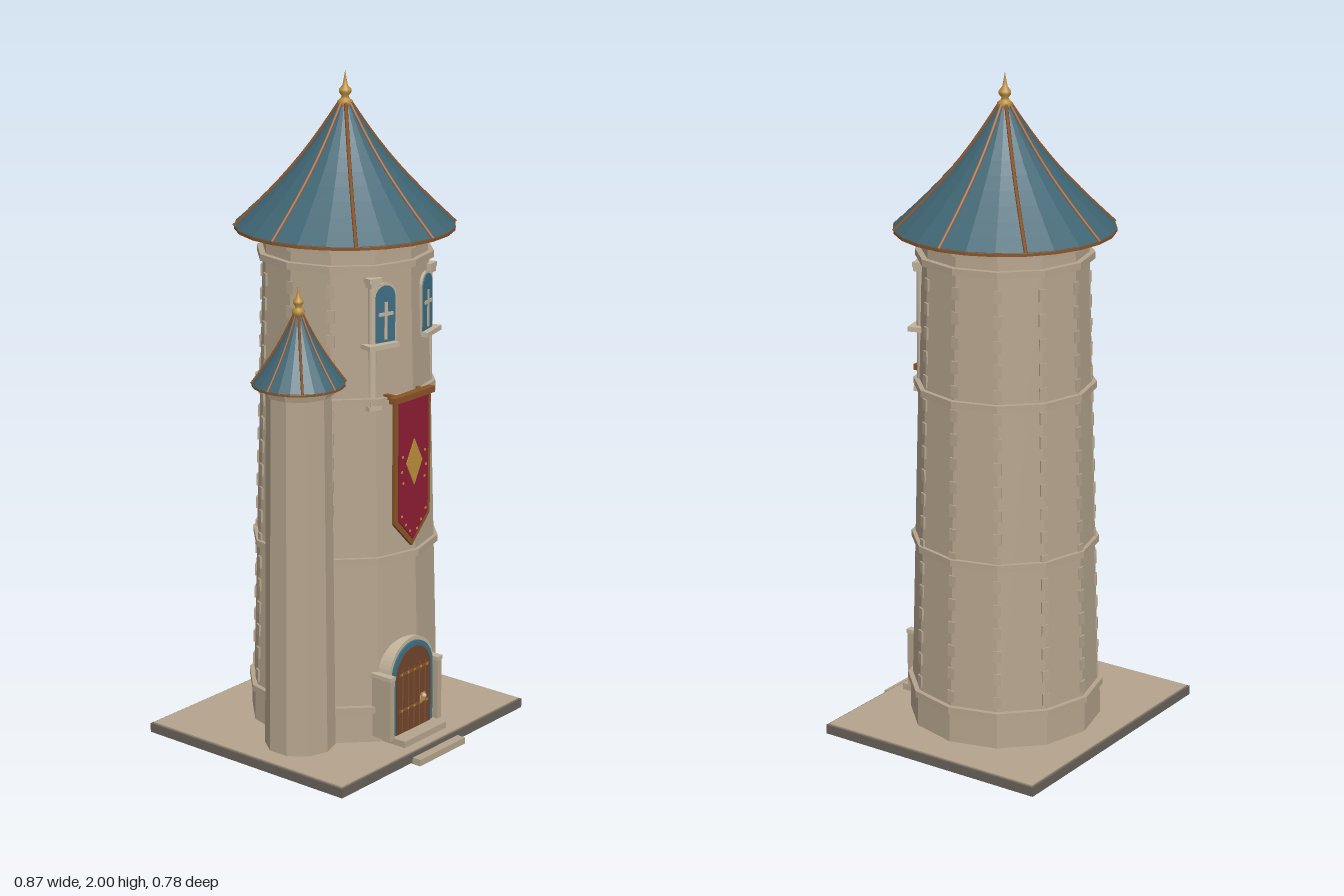
import * as THREE from 'three';

const mat = (name, color) => { const m = new THREE.MeshStandardMaterial({ color }); m.name = name; return m; };

export function createModel() {
  const stone = mat('stone', 0xb5a48d), paleStone = mat('paleStone', 0xc2b39c), darkStone = mat('darkStone', 0x69625a);
  const slate = mat('roofSlate', 0x3f6573), timber = mat('timber', 0x8a5429), wood = mat('doorWood', 0x70452f);
  const teal = mat('tealPaint', 0x3d7084), crimson = mat('crimson', 0x8e1c35), gold = mat('gold', 0xbd8f3c);
  const root = new THREE.Group();
  const TX = 0.035, TZ = -0.016;

  const add = (parent, name, geo, material, x = 0, y = 0, z = 0) => {
    const m = new THREE.Mesh(geo, material);
    m.name = name;
    m.position.set(x, y, z);
    parent.add(m);
    return m;
  };
  const group = (name, x = 0, y = 0, z = 0) => {
    const g = new THREE.Group();
    g.name = name;
    g.position.set(x, y, z);
    root.add(g);
    return g;
  };
  const box = (parent, name, w, h, d, material, x, y, z) => add(parent, name, new THREE.BoxGeometry(w, h, d), material, x, y, z);
  const flat = (geo) => { const g = geo.toNonIndexed(); g.computeVertexNormals(); return g; };
  // Faceted drum standing on y0
  const drum = (parent, name, rBottom, rTop, y0, y1, sides, material) =>
    add(parent, name, flat(new THREE.CylinderGeometry(rTop, rBottom, y1 - y0, sides)), material, 0, (y0 + y1) / 2, 0);
  const extrude = (shape, depth) => new THREE.ExtrudeGeometry(shape, { depth, bevelEnabled: false, curveSegments: 12 });
  const polygon = (pts) => new THREE.Shape(pts.map(([x, y]) => new THREE.Vector2(x, y)));
  // Round-headed opening, half-width w, total height h
  const arch = (w, h) => {
    const s = new THREE.Shape();
    s.moveTo(-w, 0);
    s.lineTo(w, 0);
    s.lineTo(w, h - w);
    s.absarc(0, h - w, w, 0, Math.PI, false);
    s.closePath();
    return s;
  };

  // Ground slab and entrance steps
  const ground = group('ground');
  box(ground, 'slabEdge', 0.872, 0.028, 0.752, darkStone, 0, 0.019, -0.014);
  box(ground, 'slabTop', 0.858, 0.006, 0.738, stone, 0, 0.034, -0.014);
  box(ground, 'lowerStep', 0.218, 0.02, 0.07, stone, 0, 0.01, 0.355);
  box(ground, 'upperStep', 0.2, 0.022, 0.12, stone, 0, 0.046, 0.265);

  // Main tower wall, tapering upward
  const tower = group('tower', TX, 0, TZ);
  const wallRadius = (y) => 0.285 - 0.028 * (y - 0.035);
  drum(tower, 'wall', wallRadius(0.035), wallRadius(1.54), 0.035, 1.54, 12, stone);
  drum(tower, 'plinth', 0.29, 0.288, 0.035, 0.13, 12, stone);
  for (const [y, r] of [[0.14, 0.297], [0.6, 0.281], [1.08, 0.27], [1.47, 0.262], [1.525, 0.262]])
    drum(tower, 'stringCourse', r, r, y - 0.01, y + 0.01, 12, stone);

  // Alternating corner stones on the sides and back
  for (let a = 2; a <= 10; a++) {
    for (let i = 0; i < 18; i++) {
      const y = 0.18 + i * 0.072, t = a * Math.PI / 6, r = wallRadius(y) - 0.003;
      const q = box(tower, 'cornerStone', 0.022, 0.036, 0.012, stone, r * Math.sin(t), y, r * Math.cos(t));
      q.rotation.y = t;
    }
  }

  // Conical roof: overlapping slate courses, eave ring, ribs and finial
  const roof = (name, x, z, yEave, yTop, r, rows, rib, fin) => {
    const g = group(name, x, 0, z);
    const h = yTop - yEave;
    const radiusAt = (t) => r * (1 - t) - r * 0.07 * Math.sin(Math.PI * t) + r * 0.04 * t;
    for (let i = 0; i < rows; i++) {
      const t0 = i / rows, t1 = (i + 1) / rows;
      drum(g, 'slateCourse', radiusAt(t0) + r * 0.008, radiusAt(t1), yEave + h * t0, yEave + h * t1, 24, slate);
    }
    drum(g, 'eave', r * 1.005, r * 1.005, yEave - rib * 1.6, yEave + rib * 0.4, 24, timber);
    const pts = [];
    for (let i = 0; i <= 8; i++) pts.push(new THREE.Vector3(0, yEave + h * i / 8, radiusAt(i / 8) + rib * 0.4));
    const ribGeo = new THREE.TubeGeometry(new THREE.CatmullRomCurve3(pts), 10, rib, 6);
    for (let i = 0; i < 8; i++) add(g, 'roofRib', ribGeo, timber).rotation.y = i * Math.PI / 4;
    const profile = [[0, -0.25], [0.23, -0.22], [0.25, 0], [0.15, 0.08], [0.11, 0.16], [0.2, 0.28], [0.2, 0.38],
      [0.09, 0.5], [0.05, 0.7], [0, 1]].map(([a, b]) => new THREE.Vector2(a * fin, b * fin));
    add(g, 'finial', new THREE.LatheGeometry(profile, 16), gold, 0, yTop, 0);
  };
  roof('mainRoof', TX, TZ, 1.55, 1.91, 0.322, 10, 0.0055, 0.09);

  // Slim side turret
  const turret = group('turret', -0.266, 0, 0.061);
  drum(turret, 'turretWall', 0.105, 0.094, 0.035, 1.14, 10, stone);
  drum(turret, 'turretCornice', 0.1, 0.106, 1.115, 1.14, 10, stone);
  roof('turretRoof', -0.266, 0.061, 1.148, 1.36, 0.134, 7, 0.004, 0.075);

  // Arched door with painted frame and stone surround
  const door = group('door', 0, 0.055, 0.2);
  add(door, 'stoneArch', extrude(arch(0.105, 0.29), 0.07), paleStone);
  add(door, 'doorFrame', extrude(arch(0.095, 0.278), 0.076), teal);
  add(door, 'doorLeaf', extrude(arch(0.081, 0.262), 0.079), wood);
  for (let i = -2; i <= 2; i++) box(door, 'plankJoint', 0.003, 0.2, 0.002, timber, i * 0.027, 0.105, 0.0795);
  for (const y of [0.075, 0.19]) {
    box(door, 'hingeStrap', 0.14, 0.008, 0.003, timber, 0, y, 0.08);
    for (let i = -2; i <= 2; i++) box(door, 'hingeStud', 0.006, 0.006, 0.004, gold, i * 0.03, y, 0.081);
  }
  box(door, 'lockPlate', 0.018, 0.026, 0.004, gold, 0.042, 0.09, 0.081);
  add(door, 'doorKnob', new THREE.SphereGeometry(0.008, 10, 8), paleStone, 0.042, 0.094, 0.085);
  for (const s of [-1, 1]) {
    box(door, 'doorPilaster', 0.02, 0.19, 0.07, stone, s * 0.113, 0.095, 0.053);
    box(door, 'pilasterCap', 0.024, 0.012, 0.074, paleStone, s * 0.113, 0.194, 0.053);
  }

  // Pair of arched windows, each with sill and outer column
  for (const s of [-1, 1]) {
    const win = group(s < 0 ? 'rightWindow' : 'leftWindow', TX, 0, TZ);
    win.rotation.y = s * Math.PI / 12;
    const u = s * 0.035, d = 0.23;
    add(win, 'windowSurround', extrude(arch(0.041, 0.175), 0.016), paleStone, u, 1.25, d);
    add(win, 'windowPane', extrude(arch(0.034, 0.166), 0.019), teal, u, 1.252, d);
    box(win, 'windowMullion', 0.01, 0.11, 0.004, paleStone, u, 1.315, d + 0.02);
    box(win, 'windowTransom', 0.05, 0.01, 0.004, paleStone, u, 1.335, d + 0.02);
    box(win, 'windowSill', 0.105, 0.014, 0.05, paleStone, u + s * 0.015, 1.243, d + 0.01);
    const cx = u + s * 0.036, cz = d + 0.004;
    add(win, 'column', new THREE.CylinderGeometry(0.013, 0.014, 0.36, 12), paleStone, cx, 1.255, cz);
    for (const [y, w] of [[1.06, 0.044], [1.074, 0.034], [1.422, 0.034], [1.436, 0.044]])
      box(win, 'columnBlock', w, 0.014, 0.036, paleStone, cx, y, cz);
  }

  // Hanging banner with border, diamond and trim
  const banner = group('banner', 0, 0, 0.258);
  const pennant = (w, top, side, tip) => polygon([[-w, top], [-w, side], [0, tip], [w, side], [w, top]]);
  add(banner, 'bannerBorder', extrude(pennant(0.083, 1.085, 0.715, 0.632), 0.01), timber);
  add(banner, 'bannerCloth', extrude(pennant(0.068, 1.078, 0.724, 0.653), 0.014), crimson);
  add(banner, 'bannerDiamond', extrude(polygon([[0, 0.82], [0.037, 0.89], [0, 0.96], [-0.037, 0.89]]), 0.017), gold);
  box(banner, 'bannerRod', 0.186, 0.018, 0.024, timber, 0, 1.09, 0.006);
  for (const s of [-1, 1]) {
    box(banner, 'bannerBracket', 0.014, 0.014, 0.06, timber, s * 0.06, 1.09, -0.02);
    for (const [x, y] of [[0.052, 0.915], [0.056, 0.87], [0.05, 0.835], [0.056, 0.735], [0.036, 0.705], [0.016, 0.682]])
      box(banner, 'bannerStud', 0.007, 0.007, 0.003, gold, s * x, y, 0.0145);
  }
  return root;
}
